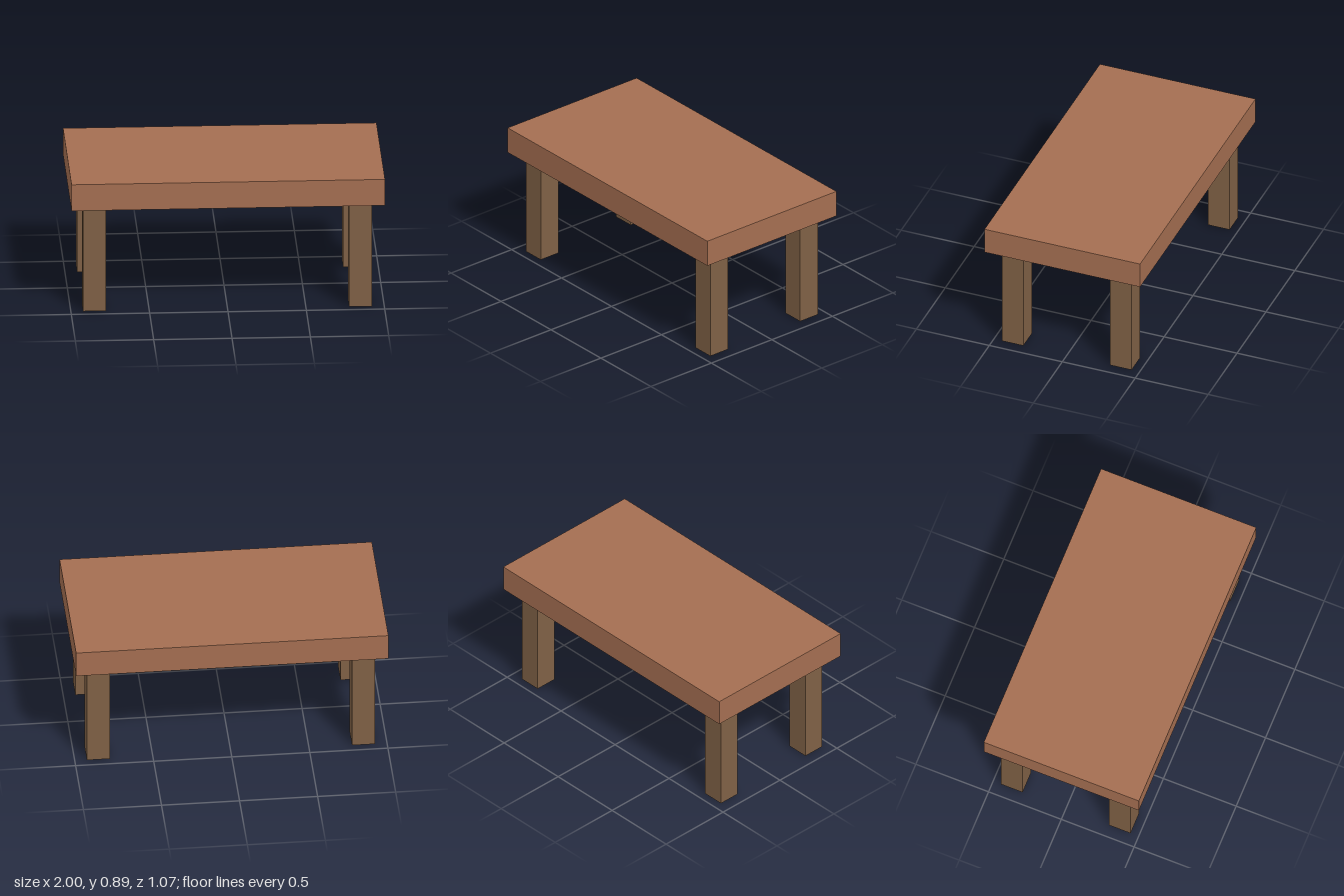
import * as THREE from 'three';

export function createModel() {
  const table = new THREE.Group();
  table.name = 'table';

  const topWood = new THREE.MeshStandardMaterial({ color: 0xa46e51 });
  topWood.name = 'reddish brown wood';
  const legWood = new THREE.MeshStandardMaterial({ color: 0x7f6045 });
  legWood.name = 'dark brown wood';

  const legHeight = 0.713;
  const topThickness = 0.177;

  // Thick slab top
  const top = new THREE.Mesh(new THREE.BoxGeometry(2, topThickness, 1.066), topWood);
  top.name = 'tableTop';
  top.position.y = legHeight + topThickness / 2;
  table.add(top);

  // Four square legs, set in from the corners
  const legGeometry = new THREE.BoxGeometry(0.147, legHeight, 0.147);
  for (const [zName, z] of [['front', 1], ['back', -1]]) {
    for (const [xName, x] of [['Left', 1], ['Right', -1]]) {
      const leg = new THREE.Mesh(legGeometry, legWood);
      leg.name = `${zName}${xName}Leg`;
      leg.position.set(x * 0.849, legHeight / 2, z * 0.371);
      table.add(leg);
    }
  }

  return table;
}
